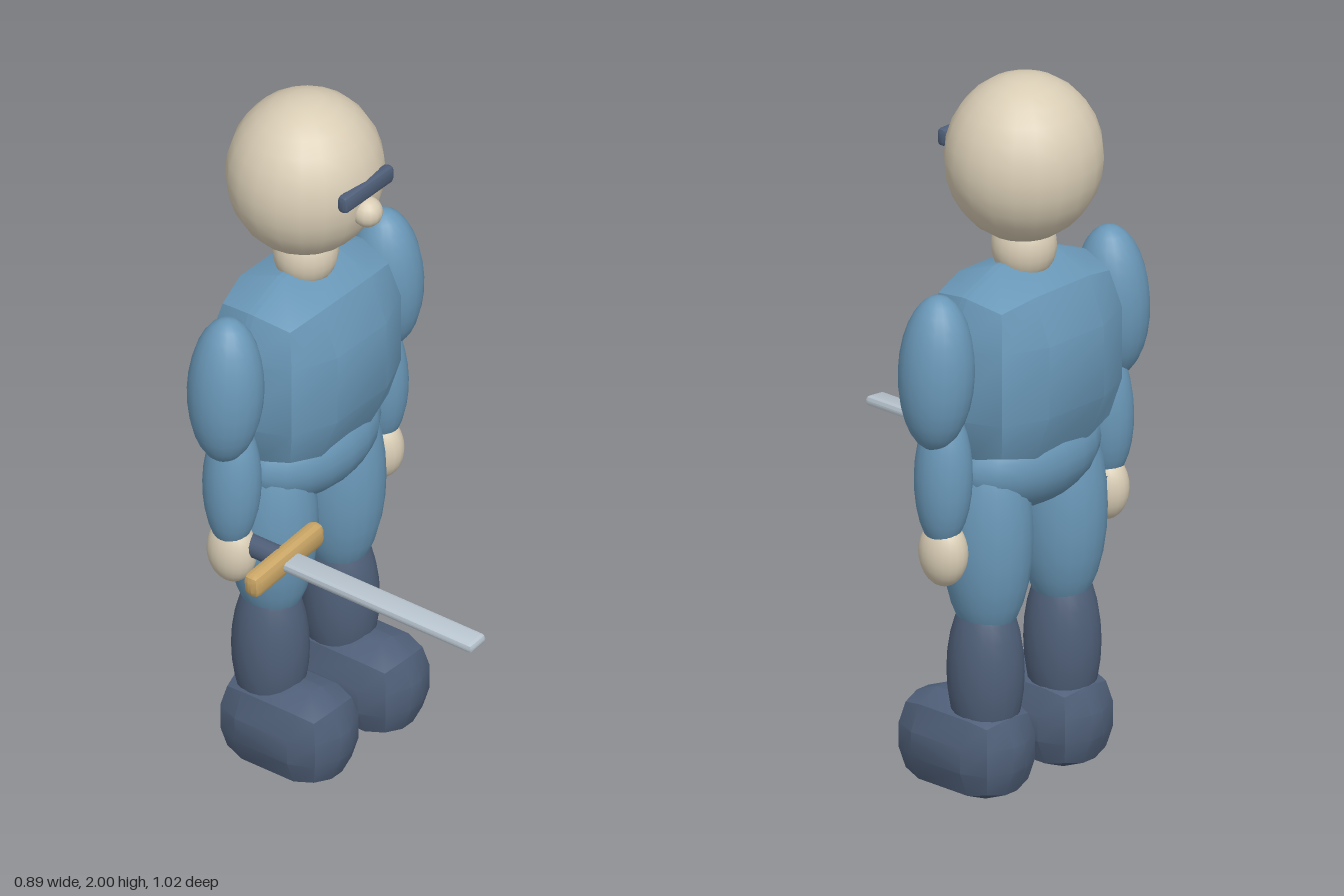
import * as THREE from 'three';
import { toCreasedNormals } from 'three/addons/utils/BufferGeometryUtils.js';
import { RoundedBoxGeometry } from 'three/addons/geometries/RoundedBoxGeometry.js';

const paint = (name, color) => {
  const m = new THREE.MeshStandardMaterial({ color });
  m.name = name;
  return m;
};

export function createModel() {
  const skin = paint('skin', 0xd9cdb5);
  const cloth = paint('blue cloth', 0x6a98b8);
  const leather = paint('dark leather', 0x4f5f78);
  const brass = paint('brass', 0xc9a565);
  const steel = paint('steel', 0xb8c4ce);

  const model = new THREE.Group();
  model.name = 'swordFighter';

  const add = (parent, name, geometry, material, [x, y, z]) => {
    const mesh = new THREE.Mesh(geometry, material);
    mesh.name = name;
    mesh.position.set(x, y, z);
    parent.add(mesh);
    return mesh;
  };

  // Ellipsoid given by its centre and three radii
  const ball = (parent, name, material, centre, [rx, ry, rz], seg = 20) =>
    add(parent, name, new THREE.SphereGeometry(1, seg, Math.round(seg * 0.7)).scale(rx, ry, rz), material, centre);

  // Bevelled block; sizes are those of the finished block, so the
  // shrinkage of the coarse rounding is added back
  const block = (parent, name, material, centre, size, r) => {
    const [w, h, d] = size.map((s) => s + 0.191 * r);
    const geometry = toCreasedNormals(new RoundedBoxGeometry(w, h, d, 1, r), 0.53);
    return add(parent, name, geometry, material, centre);
  };

  // Head
  const head = new THREE.Group();
  head.name = 'head';
  model.add(head);
  ball(head, 'skull', skin, [0, 1.77, -0.302], [0.217, 0.23, 0.209]);
  ball(head, 'nose', skin, [0, 1.725, -0.095], [0.042, 0.042, 0.042], 14);
  block(head, 'brow', leather, [0, 1.795, -0.1], [0.208, 0.048, 0.03], 0.012);
  ball(model, 'neck', skin, [0, 1.52, -0.302], [0.088, 0.1, 0.088]);

  // Body
  block(model, 'torso', cloth, [0, 1.205, -0.302], [0.536, 0.53, 0.344], 0.18);
  ball(model, 'hips', cloth, [0, 0.935, -0.3], [0.25, 0.15, 0.158]);

  // Limbs, mirrored left and right
  for (const [side, s] of [['left', 1], ['right', -1]]) {
    const arm = new THREE.Group();
    arm.name = side + 'Arm';
    model.add(arm);
    ball(arm, 'upperArm', cloth, [s * 0.34, 1.255, -0.302], [0.1, 0.217, 0.104]).rotation.z = s * 0.05;
    ball(arm, 'forearm', cloth, [s * 0.313, 0.95, -0.302], [0.076, 0.2, 0.08]).rotation.z = s * 0.03;
    ball(arm, 'hand', skin, [s * 0.313, 0.735, -0.302], [0.059, 0.094, 0.072]);

    const leg = new THREE.Group();
    leg.name = side + 'Leg';
    model.add(leg);
    ball(leg, 'thigh', cloth, [s * 0.144, 0.74, -0.302], [0.12, 0.31, 0.127]);
    ball(leg, 'shin', leather, [s * 0.149, 0.35, -0.302], [0.101, 0.24, 0.106]);
    block(leg, 'boot', leather, [s * 0.151, 0.131, -0.237], [0.226, 0.252, 0.356], 0.1);
  }

  // Sword held forward in the right hand
  const sword = new THREE.Group();
  sword.name = 'sword';
  sword.position.set(-0.295, 0.759, 0);
  sword.rotation.z = 0.09;
  model.add(sword);
  const gripShape = new THREE.CylinderGeometry(0.031, 0.031, 0.19, 12).rotateX(Math.PI / 2);
  add(sword, 'grip', gripShape, leather, [0, 0, -0.25]);
  block(sword, 'guard', brass, [0, 0, -0.141], [0.296, 0.066, 0.046], 0.02);
  block(sword, 'blade', steel, [0, 0, 0.185], [0.068, 0.026, 0.65], 0.012);

  return model;
}
